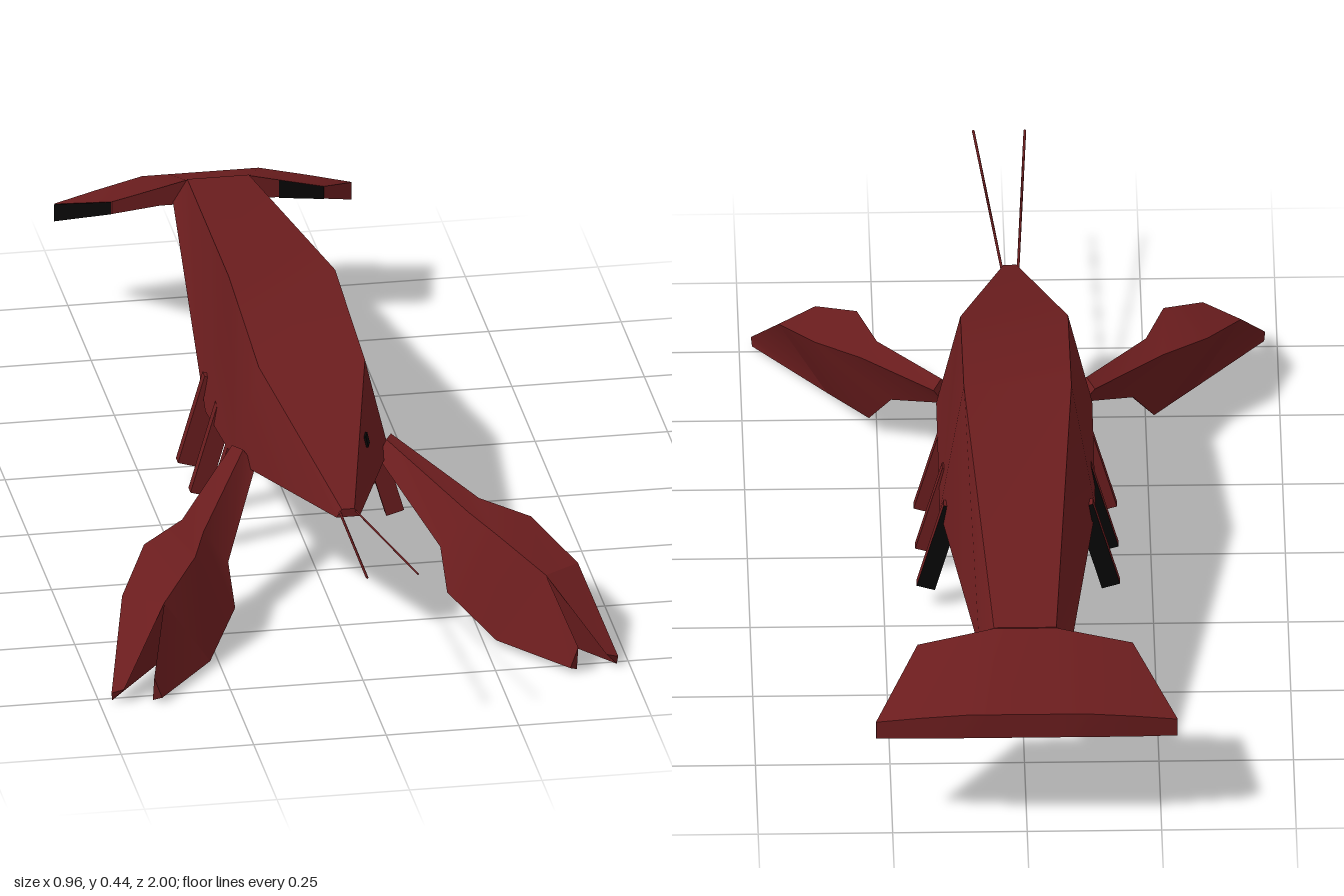
import * as THREE from 'three';
import { toCreasedNormals } from 'three/addons/utils/BufferGeometryUtils.js';

// Skin matching rings of points into a closed solid facing outwards, with sharp main edges
function loft(rings, s = 1) {
  const R = rings.map(r => r.map(p => new THREE.Vector3(p[0] * s, p[1], p[2])));
  const tris = [], n = R[0].length, last = R.length - 1;
  for (let i = 0; i < last; i++)
    for (let j = 0; j < n; j++) {
      const k = (j + 1) % n;
      tris.push([R[i][j], R[i][k], R[i + 1][k]], [R[i][j], R[i + 1][k], R[i + 1][j]]);
    }
  for (let j = 1; j < n - 1; j++)
    tris.push([R[0][0], R[0][j + 1], R[0][j]], [R[last][0], R[last][j], R[last][j + 1]]);
  const volume = tris.reduce((v, [a, b, c]) => v + a.dot(b.clone().cross(c)), 0);
  if (volume < 0) tris.forEach(t => t.reverse());
  return toCreasedNormals(new THREE.BufferGeometry().setFromPoints(tris.flat()), 0.6);
}

// Flat four-cornered face, corners counter-clockwise
function panel(a, b, c, d) {
  const geo = new THREE.BufferGeometry().setFromPoints([a, b, c, a, c, d].map(p => new THREE.Vector3(...p)));
  geo.computeVertexNormals();
  return geo;
}

// Straight thin rod between two points
function rod(a, b, radius, sides) {
  const A = new THREE.Vector3(...a), B = new THREE.Vector3(...b), d = B.clone().sub(A);
  const geo = new THREE.CylinderGeometry(radius, radius, d.length(), sides);
  geo.applyQuaternion(new THREE.Quaternion().setFromUnitVectors(new THREE.Vector3(0, 1, 0), d.normalize()));
  const mid = A.add(B).multiplyScalar(0.5);
  return geo.translate(mid.x, mid.y, mid.z);
}

export function createModel() {
  const model = new THREE.Group();
  const shell = new THREE.MeshStandardMaterial({ color: 0x6b1d1e });
  shell.name = 'dark red shell';
  const black = new THREE.MeshStandardMaterial({ color: 0x070606 });
  black.name = 'black';
  const add = (name, geo, mat = shell, parent = model) => {
    const m = new THREE.Mesh(geo, mat);
    m.name = name;
    parent.add(m);
    return m;
  };

  // Body: z, top height, top half width, bottom height, bottom half width
  const body = [
    [0.59, 0.28, 0.012, 0.264, 0.022],
    [0.2, 0.402, 0.1, 0.215, 0.145],
    [-0.12, 0.442, 0.1, 0.172, 0.145],
    [-0.81, 0.33, 0.058, 0.285, 0.085],
  ].map(([z, ty, tw, by, bw]) => [[-tw, ty, z], [tw, ty, z], [bw, by, z], [-bw, by, z]]);
  add('body', loft(body));

  // Tail fan: arched plate, half stations from the tip inwards
  // x, front z, front top, front bottom, back z, back top, back bottom
  const half = [
    [0.28, -0.97, 0.225, 0.19, -0.972, 0.225, 0.19],
    [0.2, -0.81, 0.295, 0.27, -0.985, 0.24, 0.196],
    [0.11, -0.81, 0.316, 0.28, -1, 0.255, 0.205],
    [0.06, -0.81, 0.328, 0.28, -1, 0.255, 0.205],
  ];
  const mirrored = half.map(([x, ...rest]) => [-x, ...rest]);
  add('tailFan', loft([...mirrored, ...half.reverse()].map(([x, fz, ft, fb, bz, bt, bb]) =>
    [[x, ft, fz], [x, bt, bz], [x, bb, bz], [x, fb, fz]])));

  // Black edges on the front of the fan
  add('leftFanEdge', panel([0.115, 0.279, -0.808], [0.2, 0.27, -0.808], [0.2, 0.295, -0.808], [0.115, 0.315, -0.808]), black);
  add('rightFanEdge', panel([-0.282, 0.19, -0.969], [-0.202, 0.27, -0.809], [-0.202, 0.295, -0.809], [-0.282, 0.225, -0.969]), black);

  // Claw rings: outer edge, upper ridge, inner edge, lower ridge
  const shoulder = [[0.15, 0.245, 0.195], [0.135, 0.25, 0.23], [0.115, 0.225, 0.25], [0.13, 0.215, 0.2]];
  const wrist = [[0.28, 0.195, 0.4], [0.25, 0.195, 0.46], [0.2, 0.12, 0.44], [0.225, 0.11, 0.39]];
  const palm = [[0.365, 0.185, 0.476], [0.285, 0.195, 0.57], [0.2, 0.06, 0.515], [0.265, 0.035, 0.45]];
  const knuckle = [[0.43, 0.145, 0.61], [0.36, 0.15, 0.665], [0.27, 0.015, 0.645], [0.34, 0.007, 0.59]];
  const [outer, ridge, inner, under] = knuckle;
  const outerTip = [[0.478, 0.022, 0.77], [0.455, 0.03, 0.775], [0.476, 0.005, 0.765]];
  const innerTip = [[0.4, 0.053, 0.785], [0.385, 0.012, 0.785], [0.4, 0.002, 0.77]];

  for (const [side, s] of [['left', 1], ['right', -1]]) {
    const claw = new THREE.Group();
    claw.name = side + 'Claw';
    model.add(claw);
    add('armAndPalm', loft([shoulder, wrist, palm, knuckle], s), shell, claw);
    add('outerFinger', loft([[outer, ridge, under], outerTip], s), shell, claw);
    add('innerFinger', loft([[ridge, inner, under], innerTip], s), shell, claw);

    // Walking legs: splayed bars, some with a black rear face
    [0.105, -0.04, -0.175].forEach((z, i) => {
      const rear = i === 2 || (i === 1 && s < 0) ? black : shell;
      const leg = add(`${side}Leg${i + 1}`, new THREE.BoxGeometry(0.035, 0.18, 0.022),
        [shell, shell, shell, shell, shell, rear]);
      leg.position.set(s * 0.147, 0.132, z);
      leg.rotation.z = s * 0.283;
    });

    // Antenna
    add(side + 'Antenna', rod([s * 0.015, 0.273, 0.585], [s > 0 ? 0.06 : -0.036, 0.326, 1], 0.0025, 4));
  }

  // Single eye plate lying on the left cheek
  const eye = add('eye', new THREE.BoxGeometry(0.022, 0.022, 0.006), black);
  eye.position.set(0.0745, 0.312, 0.36);
  eye.lookAt(1.0745, 0.554, 0.661);
  return model;
}
